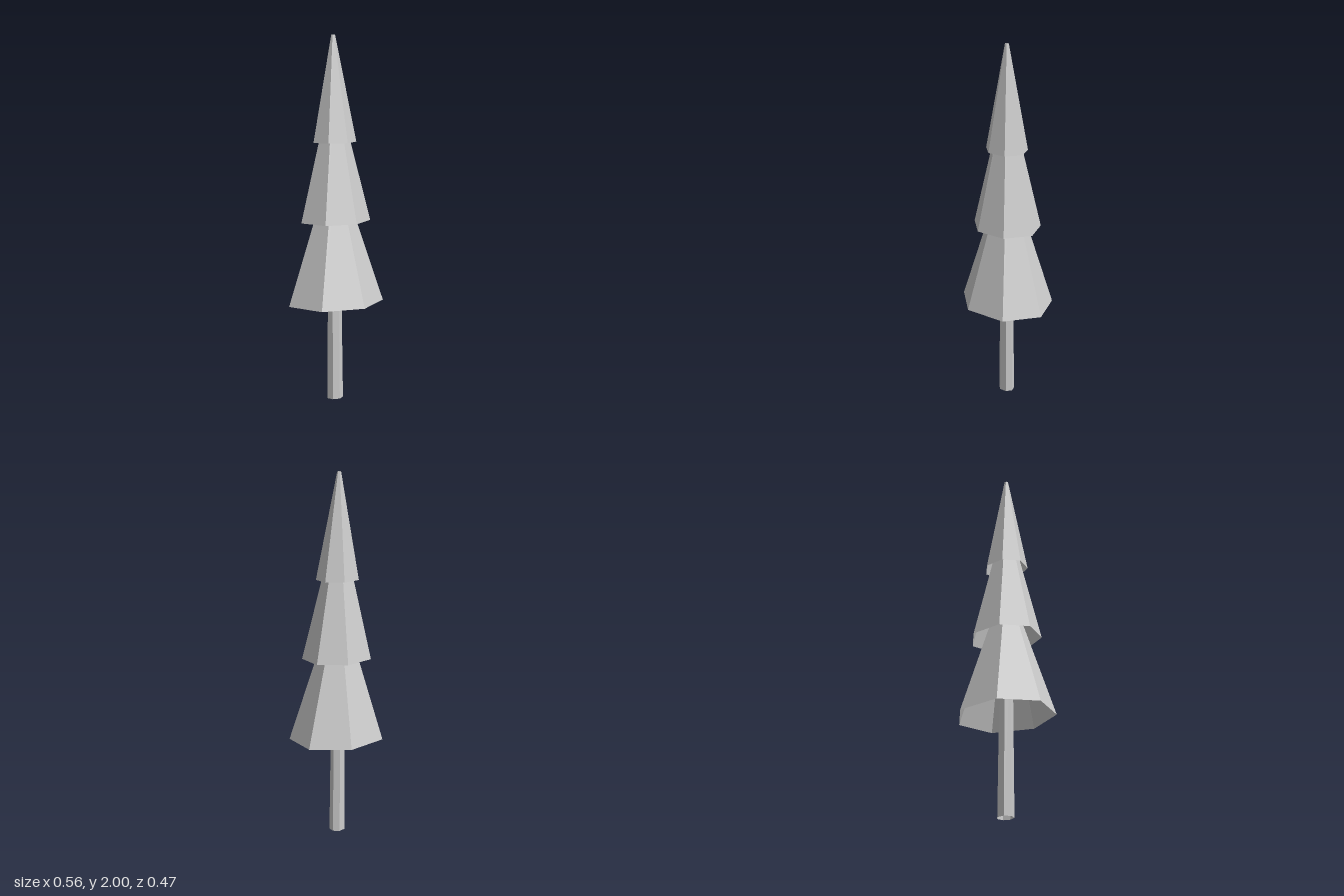
import * as THREE from 'three';

const SIDES = 7;
const material = new THREE.MeshStandardMaterial({
  color: 0xcccccc, flatShading: true, side: THREE.DoubleSide,
});

// Open seven-sided frustum from y0 to y1, wider in x than z, leaning between two centres.
function frustum(name, y0, y1, bottom, top) {
  const geometry = new THREE.CylinderGeometry(1, 1, 1, SIDES, 1, true);
  const p = geometry.attributes.position;
  for (let i = 0; i < p.count; i++) {
    const isTop = p.getY(i) > 0;
    const ring = isTop ? top : bottom;
    p.setXYZ(i,
      ring.x + p.getX(i) * ring.rx,
      isTop ? y1 : y0,
      ring.z + p.getZ(i) * ring.rz);
  }
  geometry.computeVertexNormals();
  const mesh = new THREE.Mesh(geometry, material);
  mesh.name = name;
  return mesh;
}

const ring = (rx, rz, x = 0, z = -0.0135) => ({ rx, rz, x, z });

export function createModel() {
  const tree = new THREE.Group();
  tree.name = 'tree';

  // Slim hollow trunk running up inside the lowest tier
  tree.add(frustum('trunk', 0, 0.9, ring(0.048, 0.042, 0.001, -0.012), ring(0.038, 0.034, -0.003)));

  // Open skirts of foliage, each topped by the next
  tree.add(
    frustum('lowerFoliage', 0.55, 1.29, ring(0.285, 0.2455), ring(0.026, 0.023, -0.003)),
    frustum('middleFoliage', 1.0, 1.72, ring(0.207, 0.18), ring(0.019, 0.017, -0.005, -0.015)),
    frustum('upperFoliage', 1.43, 2.0, ring(0.128, 0.1105, -0.003), ring(0.0115, 0.01, -0.007, -0.017)),
  );
  return tree;
}
